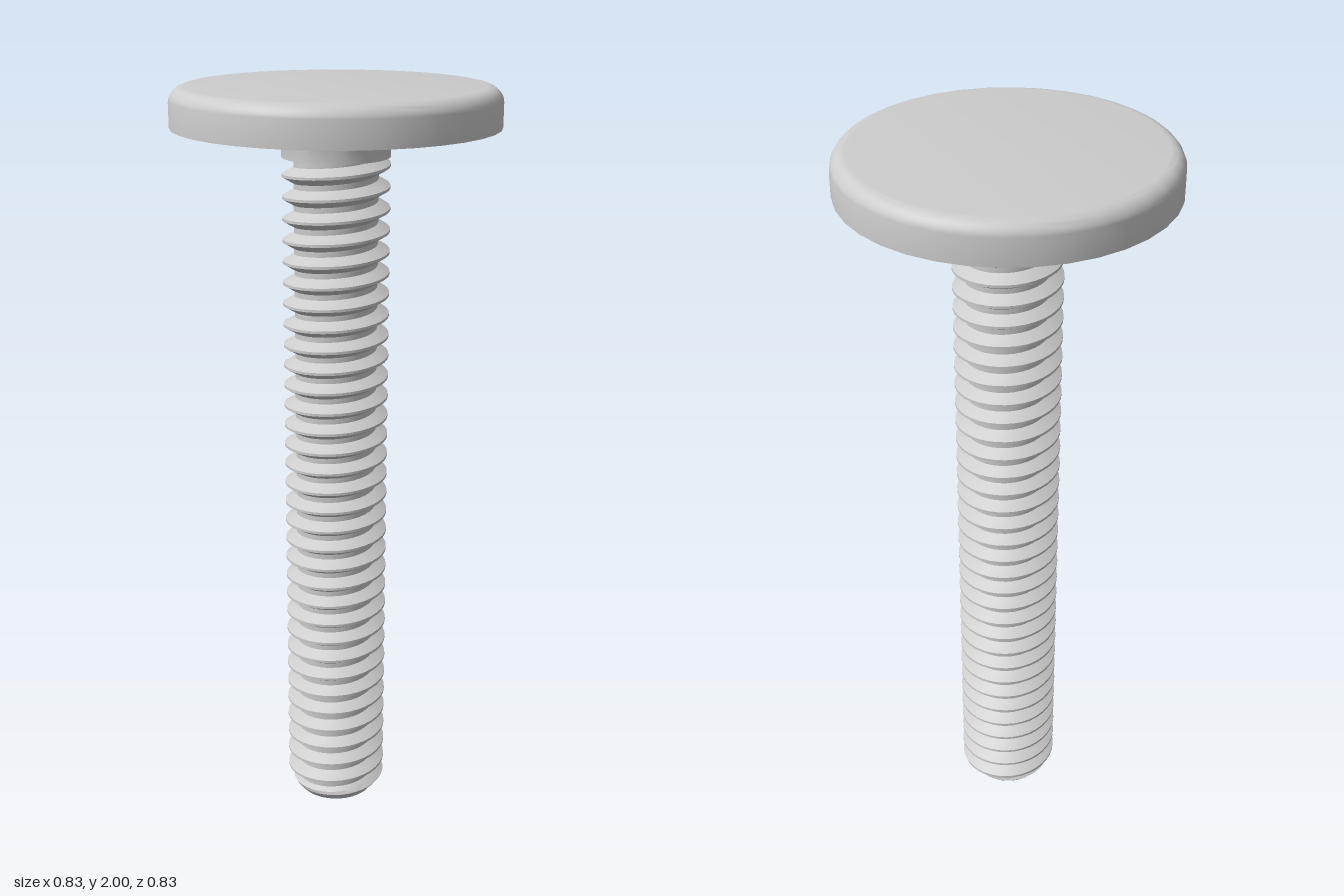
import * as THREE from 'three';
import { toCreasedNormals } from 'three/addons/utils/BufferGeometryUtils.js';

const SEG = 36;            // sides around the axis
const R = 0.138;           // shank and thread crest radius
const ROOT = 0.108;        // thread root radius
const TIP = 0.106;         // radius of the chamfered tip
const PITCH = 0.0553;
const THREAD_TOP = 1.825;
const CREST_Y = 0.04;      // height of the first crest on the +x side

// Thread radius at a fraction of one pitch measured from the crest
function threadRadius(f) {
  const d = Math.abs(f - Math.round(f));
  return THREE.MathUtils.clamp(R - (R - ROOT) * (d - 0.0625) / 0.3125, ROOT, R);
}

// Right-handed helical surface, trimmed flat at both ends and chamfered at the tip
function threadGeometry() {
  const steps = [0.0625, 0.22, 0.375, 0.625, 0.78, 0.9375];
  const rows = [];
  const turns = Math.ceil(THREAD_TOP / PITCH) + 2;
  for (let k = -3; k < turns; k++) steps.forEach(f => rows.push(k + f));

  const point = (a, f) => {
    const turn = a / SEG;
    const y = THREE.MathUtils.clamp(CREST_Y + (f + turn) * PITCH, 0, THREAD_TOP);
    const r = Math.min(threadRadius((y - CREST_Y) / PITCH - turn), TIP + y * 0.8);
    const t = turn * Math.PI * 2;
    return new THREE.Vector3(r * Math.cos(t), y, -r * Math.sin(t));
  };

  const positions = [];
  const addTriangle = (...corners) => {
    if (new THREE.Triangle(...corners).getArea() < 1e-9) return;
    corners.forEach(p => positions.push(p.x, p.y, p.z));
  };
  for (let j = 0; j < rows.length - 1; j++) {
    for (let a = 0; a < SEG; a++) {
      const p = point(a, rows[j]), q = point(a + 1, rows[j]);
      const s = point(a + 1, rows[j + 1]), t = point(a, rows[j + 1]);
      addTriangle(p, q, s);
      addTriangle(p, s, t);
    }
  }
  const geometry = new THREE.BufferGeometry();
  geometry.setAttribute('position', new THREE.Float32BufferAttribute(positions, 3));
  return toCreasedNormals(geometry, 0.5);
}

// Plain shank, fillet and flat head with a rounded upper rim
function headGeometry() {
  const profile = new THREE.Path();
  profile.moveTo(0, THREAD_TOP);
  profile.lineTo(R, THREAD_TOP);
  profile.lineTo(R, 1.86);
  profile.absarc(R + 0.04, 1.86, 0.04, Math.PI, Math.PI / 2, true);
  profile.lineTo(0.415, 1.9);
  profile.lineTo(0.415, 1.96);
  profile.absarc(0.375, 1.96, 0.04, 0, Math.PI / 2, false);
  profile.lineTo(0, 2);
  return toCreasedNormals(new THREE.LatheGeometry(profile.getPoints(4), SEG), 0.5);
}

export function createModel() {
  const group = new THREE.Group();
  group.name = 'flatHeadScrew';
  const material = new THREE.MeshStandardMaterial({ color: 0xcccccc });
  const add = (name, geometry) => {
    const mesh = new THREE.Mesh(geometry, material);
    mesh.name = name;
    group.add(mesh);
    return mesh;
  };

  add('headAndShank', headGeometry());
  add('thread', threadGeometry());
  add('tipFace', new THREE.CircleGeometry(TIP, SEG).rotateX(Math.PI / 2));
  return group;
}
